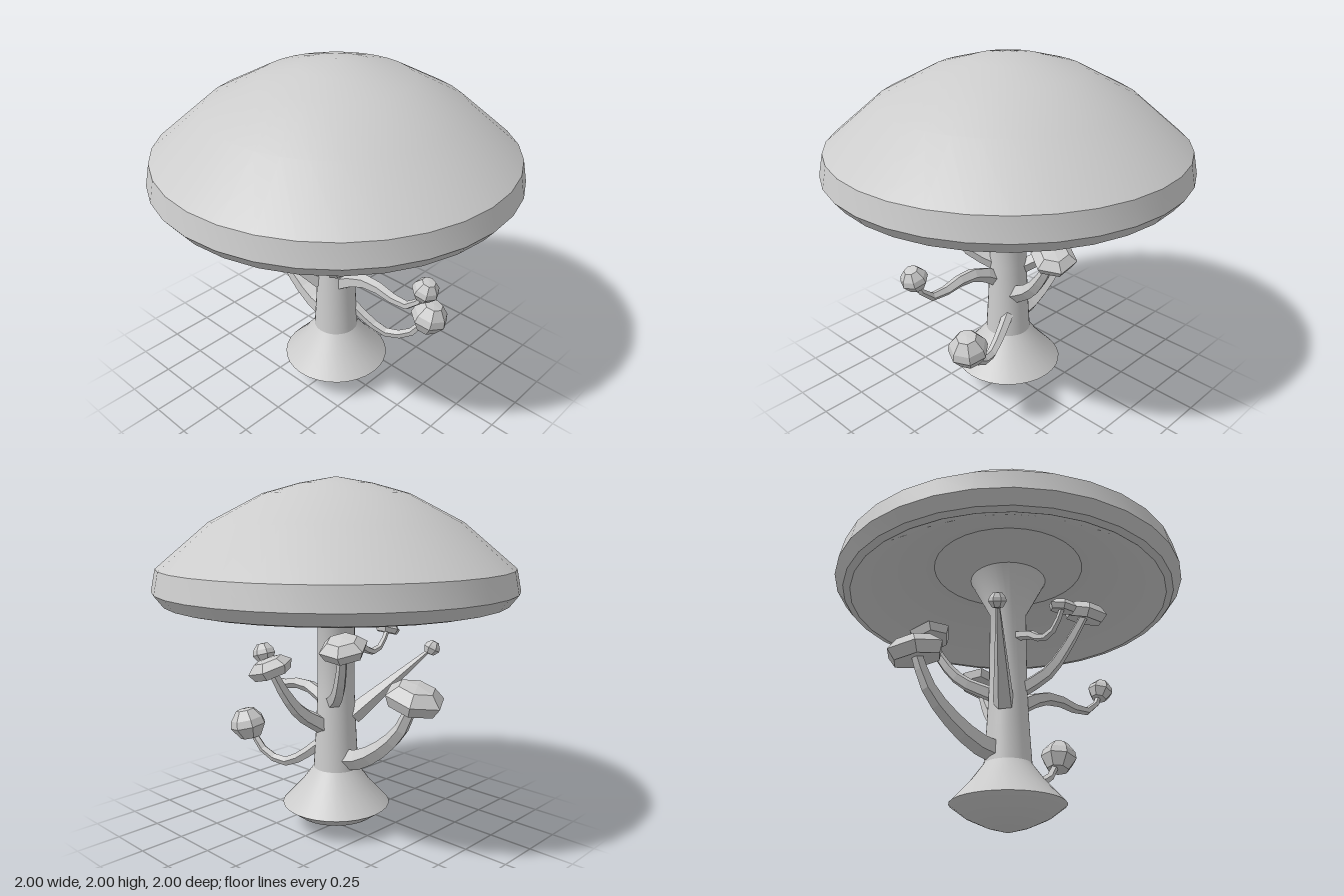
import * as THREE from 'three';
import { toCreasedNormals } from 'three/addons/utils/BufferGeometryUtils.js';

const smooth = new THREE.MeshStandardMaterial({ color: 0xcccccc });
const faceted = new THREE.MeshStandardMaterial({ color: 0xcccccc, flatShading: true });
const UP = new THREE.Vector3(0, 1, 0);
const profile = (...pts) => pts.map(([x, y]) => new THREE.Vector2(x, y));

// Stem with pointed foot, flaring into the hollow underside, rim and dome of the cap
function makeBody() {
  const stem = profile([0, 0], [0.12, 0.035], [0.23, 0.085], [0.31, 0.145], [0.2, 0.265],
    [0.13, 0.36], [0.118, 0.55], [0.106, 0.8], [0.105, 1.26]);
  const underside = profile([0.22, 1.48], [0.44, 1.56], [0.65, 1.5], [0.91, 1.325]);
  const dome = profile([0.95, 1.335], [1, 1.4], [0.975, 1.52], [0.69, 1.76], [0.4, 1.91],
    [0.2, 1.965], [0, 2]);
  const geo = new THREE.LatheGeometry([...stem, ...underside, ...dome], 32);
  const mesh = new THREE.Mesh(toCreasedNormals(geo, 0.55), smooth);
  mesh.name = 'stemAndCap';
  return mesh;
}

// Tapered five-sided stalk along a curve
function makeStalk(points, r0, r1) {
  const curve = new THREE.CatmullRomCurve3(points);
  const rings = 7, sides = 5;
  const geo = new THREE.TubeGeometry(curve, rings, 1, sides);
  const pos = geo.attributes.position;
  const v = new THREE.Vector3();
  for (let k = 0; k < pos.count; k++) {
    const t = Math.floor(k / (sides + 1)) / rings;
    const c = curve.getPointAt(t);
    v.fromBufferAttribute(pos, k).sub(c).multiplyScalar(THREE.MathUtils.lerp(r0, r1, t)).add(c);
    pos.setXYZ(k, v.x, v.y, v.z);
  }
  const mesh = new THREE.Mesh(geo, faceted);
  mesh.name = 'stalk';
  return mesh;
}

// Unit heads: flat six-sided cap or round seven-sided bulb
const heads = {
  smallCap: new THREE.LatheGeometry(
    profile([0, -0.2], [0.82, -0.32], [1, 0.05], [0.62, 0.38], [0, 0.45]), 6),
  smallBulb: new THREE.LatheGeometry(
    profile([0, -0.85], [0.6, -0.75], [1, -0.1], [0.9, 0.3], [0.5, 0.8], [0, 0.85]), 7),
};

// Side mushroom: each bend is [share of the way out, height]; lean is the head axis in x and z
function makeSprout(kind, start, end, size, thickness, [leanX, leanZ], ...bends) {
  const from = new THREE.Vector3(...start);
  const to = new THREE.Vector3(...end);
  const middle = bends.map(([share, y]) => from.clone().lerp(to, share).setY(y));

  const head = new THREE.Mesh(heads[kind], faceted);
  head.name = kind;
  head.scale.setScalar(size);
  head.position.copy(to);
  head.quaternion.setFromUnitVectors(UP, new THREE.Vector3(leanX, 1, leanZ).normalize());

  const sprout = new THREE.Group();
  sprout.name = 'sideMushroom';
  sprout.add(makeStalk([from, ...middle, to], thickness, size * 0.18), head);
  return sprout;
}

export function createModel() {
  const model = new THREE.Group();
  model.name = 'branchingMushroom';
  model.add(makeBody());

  // Flat-capped side mushrooms
  const cap = (...spec) => model.add(makeSprout('smallCap', ...spec));
  cap([-0.05, 0.79, 0.06], [-0.355, 1.2, 0.28], 0.13, 0.045, [-0.35, 0.02], [0.4, 0.87], [0.73, 1.03]);
  cap([0.07, 0.77, -0.05], [0.3, 1.145, -0.345], 0.13, 0.045, [0.3, -0.08], [0.5, 0.86], [0.8, 0.99]);
  cap([0.07, 0.61, 0.02], [0.415, 0.995, 0.085], 0.125, 0.055, [0.25, 0.25], [0.45, 0.71], [0.73, 0.83]);
  cap([0, 0.42, -0.08], [0.015, 0.875, -0.58], 0.165, 0.065, [0, -0.25], [0.24, 0.45], [0.58, 0.56], [0.83, 0.69]);
  cap([-0.08, 1.09, 0], [-0.47, 1.11, 0.02], 0.08, 0.03, [-0.3, 0], [0.32, 1.05], [0.58, 0.99], [0.82, 1.01]);

  // Round-headed side mushrooms
  const bulb = (...spec) => model.add(makeSprout('smallBulb', ...spec));
  bulb([-0.03, 0.7, 0.07], [-0.03, 0.93, 0.665], 0.075, 0.05, [0, 0.3], [0.25, 0.78], [0.49, 0.79], [0.72, 0.765], [0.89, 0.8]);
  bulb([0.07, 0.49, 0.07], [0.22, 0.55, 0.53], 0.11, 0.035, [0.1, 0.2], [0.24, 0.4], [0.46, 0.35], [0.75, 0.39]);
  bulb([-0.06, 0.67, -0.07], [-0.415, 1.05, -0.36], 0.048, 0.06, [-0.4, -0.3]);

  return model;
}
